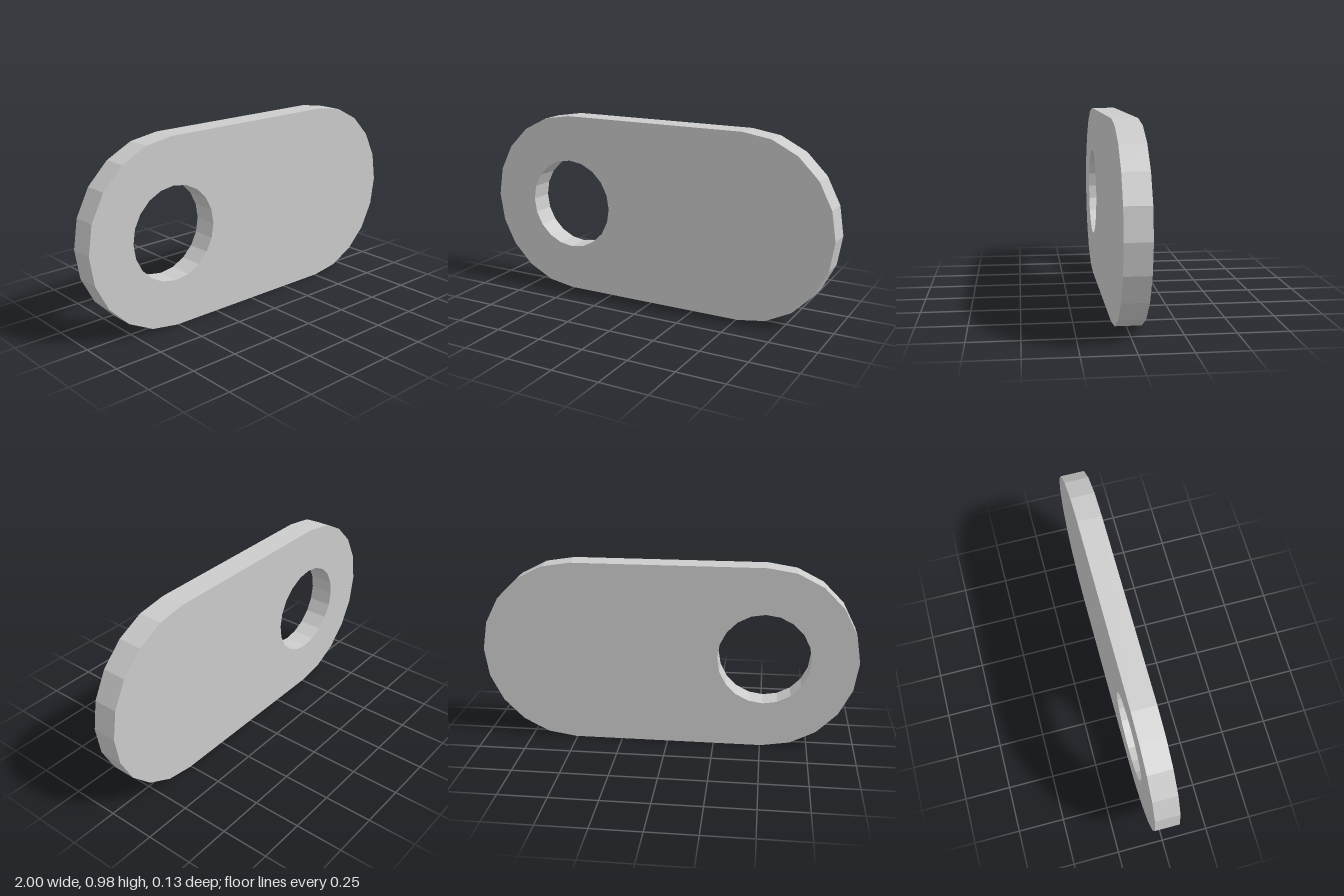
import * as THREE from 'three';

const R = 0.4915;          // end radius, half the height
const CX = 1 - R;          // distance of the end centres from the middle
const HOLE_R = 0.246;
const DEPTH = 0.128;
const SIDES = 20;          // facets per full circle

// Points of a faceted arc, counter-clockwise from a start angle
function arc(cx, radius, start, steps, count) {
  return Array.from({ length: count }, (_, i) => {
    const a = start + (i / steps) * Math.PI * 2;
    return new THREE.Vector2(cx + radius * Math.cos(a), R + radius * Math.sin(a));
  });
}

export function createModel() {
  const group = new THREE.Group();
  group.name = 'linkPlate';

  // Outline: two faceted half circles joined by straight edges
  const half = SIDES / 2 + 1;
  const outline = new THREE.Shape([
    ...arc(CX, R, -Math.PI / 2, SIDES, half),
    ...arc(-CX, R, Math.PI / 2, SIDES, half),
  ]);

  // Round hole concentric with one end
  outline.holes.push(new THREE.Path(arc(-CX, HOLE_R, 0, SIDES, SIDES).reverse()));

  const geometry = new THREE.ExtrudeGeometry(outline, { depth: DEPTH, bevelEnabled: false });
  geometry.translate(0, 0, -DEPTH / 2);

  const plate = new THREE.Mesh(
    geometry,
    new THREE.MeshStandardMaterial({ color: 0xcccccc, flatShading: true })
  );
  plate.name = 'plate';
  group.add(plate);
  return group;
}
